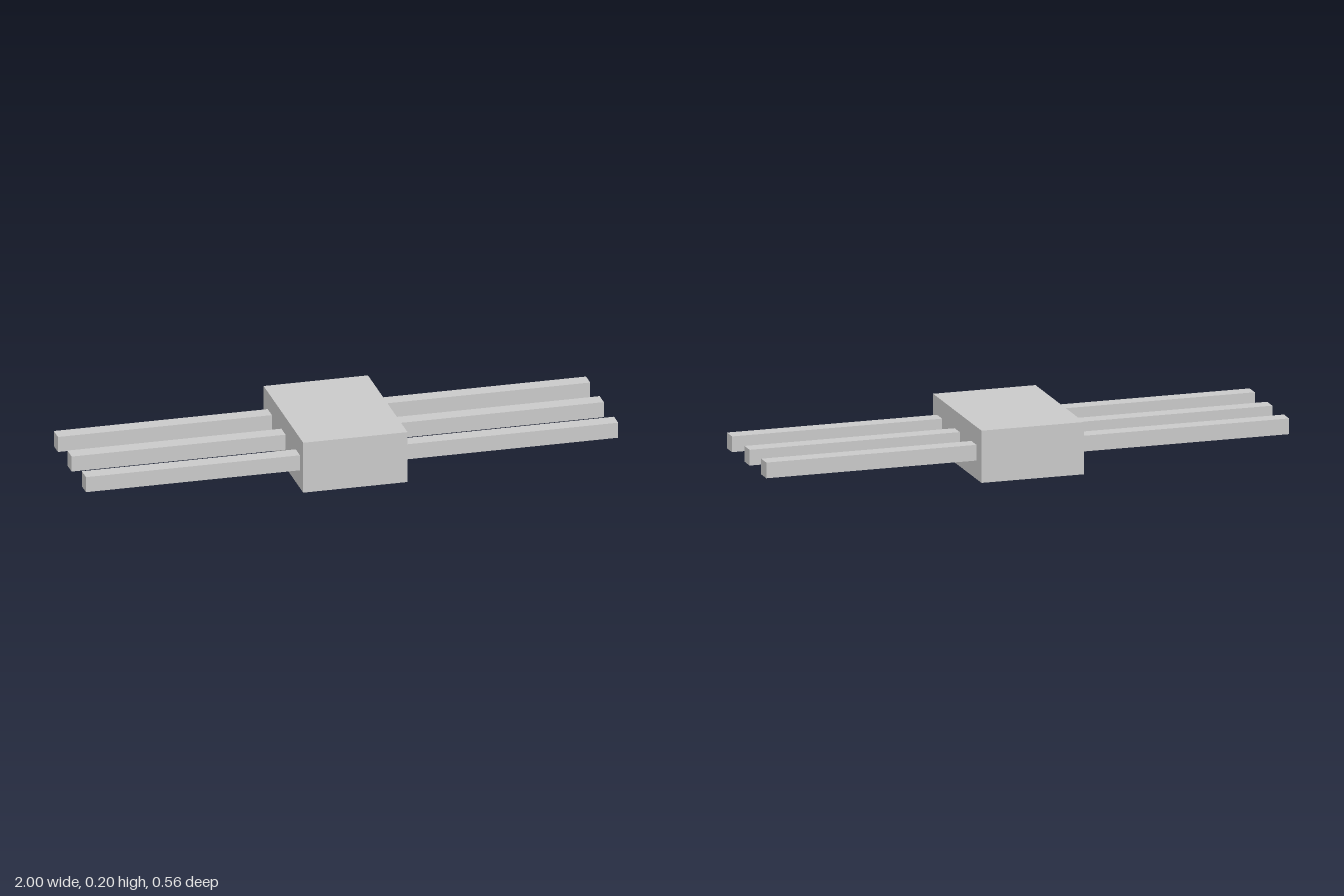
import * as THREE from 'three';

export function createModel() {
  const group = new THREE.Group();
  const material = new THREE.MeshStandardMaterial({ color: 0xcccccc, flatShading: true });

  const addBox = (name, size, position) => {
    const mesh = new THREE.Mesh(new THREE.BoxGeometry(...size), material);
    mesh.name = name;
    mesh.position.set(...position);
    group.add(mesh);
  };

  // Central housing block
  const height = 0.196;
  addBox('housing', [0.392, height, 0.557], [0, height / 2, 0]);

  // Three square pins running straight through the housing, slightly unevenly spaced
  const pinNames = ['frontPin', 'middlePin', 'backPin'];
  [0.203, 0.001, -0.191].forEach((z, i) => {
    addBox(pinNames[i], [2, 0.059, 0.059], [0, 0.099, z]);
  });

  return group;
}
